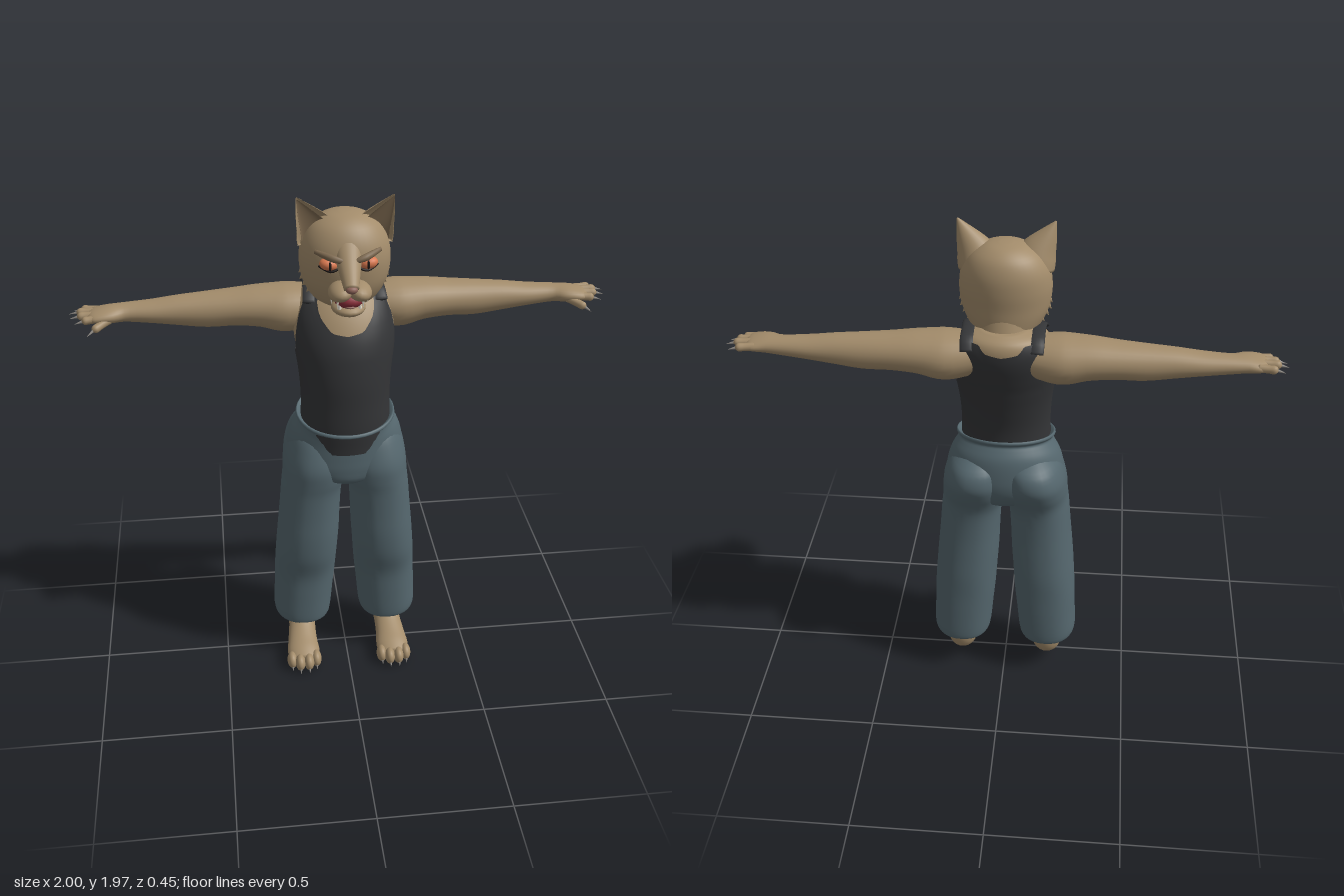
import * as THREE from 'three';

const mat = (color) => new THREE.MeshStandardMaterial({ color, side: THREE.DoubleSide });
const fur = mat(0xa38c6b), furDark = mat(0x7d6950), cloth = mat(0x343537), denim = mat(0x55676e);
const ivory = mat(0xe8e2d4), clawGrey = mat(0x8f8a84), mouthRed = mat(0x8a2f3a), iris = mat(0xd9784f);
const black = mat(0x1c1614), nosePink = mat(0x8c6358);
const V = (x, y, z) => new THREE.Vector3(x, y, z);
const X = V(1, 0, 0), Y = V(0, 1, 0), Z = V(0, 0, 1);

// Smooth interpolation through table rows at a fractional row index
function sample(rows, t) {
  const n = rows.length - 1, i = Math.min(Math.floor(t), n - 1), f = t - i;
  const at = (k) => rows[Math.max(0, Math.min(n, k))];
  return rows[i].map((p1, c) => {
    const p0 = at(i - 1)[c], p2 = at(i + 1)[c], p3 = at(i + 2)[c];
    return p1 + 0.5 * f * (p2 - p0 + f * (2 * p0 - 5 * p1 + 4 * p2 - p3 + f * (3 * (p1 - p2) + p3 - p0)));
  });
}

// Skin a list of closed rings of points
function skin(name, rings, material) {
  const n = rings[0].length, idx = [];
  for (let i = 0; i < rings.length - 1; i++) {
    for (let j = 0; j < n; j++) {
      const k = (j + 1) % n, a = i * n, b = a + n;
      idx.push(a + j, a + k, b + j, a + k, b + k, b + j);
    }
  }
  const g = new THREE.BufferGeometry().setFromPoints(rings.flat());
  g.setIndex(idx);
  g.computeVertexNormals();
  const m = new THREE.Mesh(g, material);
  m.name = name;
  return m;
}

// Rows are [x, y, z, half width along side axis, half depth]; ends are closed
function loft(name, rows, material, { side = X, up = null, p = 1, n = 28, steps = 4, warp = null } = {}) {
  const count = (rows.length - 1) * steps, s = [], rings = [];
  for (let i = 0; i <= count; i++) s.push(sample(rows, i / steps));
  const pt = (i) => V(...s[Math.max(0, Math.min(count, i))].slice(0, 3));
  const pow = (v) => Math.sign(v) * Math.abs(v) ** p;
  for (let i = 0; i <= count; i++) {
    const T = up || pt(i + 1).sub(pt(i - 1)).normalize();
    const N = T.clone().cross(side).normalize(), S = N.clone().cross(T);
    rings.push(Array.from({ length: n }, (_, j) => {
      const a = (j / n) * Math.PI * 2;
      const q = pt(i).addScaledVector(S, s[i][3] * pow(Math.cos(a))).addScaledVector(N, s[i][4] * pow(Math.sin(a)));
      return warp ? warp(q, pt(i)) : q;
    }));
  }
  rings.unshift(rings[0].map(() => pt(0)));
  rings.push(rings[0].map(() => pt(count)));
  return skin(name, rings, material);
}

function blob(name, x, y, z, rx, ry, rz, material, tilt = 0) {
  const m = new THREE.Mesh(new THREE.SphereGeometry(1, 20, 14), material);
  m.position.set(x, y, z);
  m.scale.set(rx, ry, rz);
  m.rotation.z = tilt;
  m.name = name;
  return m;
}

function spike(name, a, b, r, material) {
  const m = new THREE.Mesh(new THREE.ConeGeometry(r, a.distanceTo(b), 8), material);
  m.position.copy(a).lerp(b, 0.5);
  m.quaternion.setFromUnitVectors(Y, b.clone().sub(a).normalize());
  m.name = name;
  return m;
}

// Torso profile: y, centre z, half width, half depth
const TORSO = [[1.0, 0.005, 0.16, 0.13], [1.1, 0.007, 0.164, 0.137], [1.2, 0.005, 0.162, 0.14], [1.3, -0.005, 0.168, 0.15],
  [1.4, -0.023, 0.181, 0.157], [1.46, -0.042, 0.187, 0.157], [1.52, -0.065, 0.184, 0.15], [1.57, -0.085, 0.17, 0.134],
  [1.605, -0.095, 0.14, 0.11], [1.625, -0.095, 0.08, 0.075]];
// Tank top edge height by angle from the front: neckline, strap, armhole, strap, back
const EDGE = [[0, 1.48], [0.3, 1.49], [0.55, 1.54], [0.72, 1.605], [1, 1.605], [1.15, 1.5], [1.35, 1.4], [1.65, 1.365],
  [1.95, 1.4], [2.15, 1.5], [2.3, 1.6], [2.6, 1.6], [2.8, 1.575], [Math.PI, 1.565]];

function tankTop() {
  const n = 96, rings = [];
  for (let i = 0; i <= 30; i++) {
    rings.push(Array.from({ length: n }, (_, j) => {
      const a = (j / n) * Math.PI * 2, fromFront = Math.acos(Math.max(-1, Math.min(1, -Math.sin(a))));
      let k = 0;
      while (k < EDGE.length - 2 && EDGE[k + 1][0] < fromFront) k++;
      const [a0, h0] = EDGE[k], [a1, h1] = EDGE[k + 1];
      const y = 1 + (h0 + ((h1 - h0) * (fromFront - a0)) / (a1 - a0) - 1) * (i / 30);
      let r = 0;
      while (r < TORSO.length - 2 && TORSO[r + 1][0] < y) r++;
      const q = sample(TORSO, r + (y - TORSO[r][0]) / (TORSO[r + 1][0] - TORSO[r][0]));
      return V((q[2] + 0.006) * Math.cos(a), y, q[1] - (q[3] + 0.006) * Math.sin(a));
    }));
  }
  return skin('tankTop', rings, cloth);
}

function head() {
  const g = new THREE.Group();
  g.name = 'head';
  g.add(loft('skull', [[0, 1.57, -0.035, 0.085, 0.09], [0, 1.6, -0.025, 0.12, 0.115], [0, 1.65, -0.015, 0.148, 0.13],
    [0, 1.7, -0.01, 0.161, 0.136], [0, 1.76, -0.01, 0.164, 0.139], [0, 1.82, -0.014, 0.152, 0.13],
    [0, 1.87, -0.018, 0.12, 0.105], [0, 1.9, -0.02, 0.07, 0.065], [0, 1.91, -0.02, 0.02, 0.02]], fur, { up: Y, n: 40 }));
  g.add(loft('neck', [[0, 1.53, -0.085, 0.12, 0.11], [0, 1.59, -0.07, 0.1, 0.1], [0, 1.68, -0.04, 0.1, 0.1]], fur, { up: Y }));
  g.add(loft('noseBridge', [[0, 1.83, 0.075, 0.05, 0.03], [0, 1.775, 0.115, 0.045, 0.035], [0, 1.73, 0.165, 0.034, 0.028],
    [0, 1.7, 0.2, 0.026, 0.022]], fur));
  g.add(blob('nose', 0, 1.703, 0.208, 0.021, 0.014, 0.016, nosePink));
  g.add(blob('mouth', 0, 1.638, 0.12, 0.056, 0.034, 0.06, mouthRed));
  g.add(blob('tongue', 0, 1.622, 0.14, 0.028, 0.01, 0.04, nosePink));
  g.add(blob('lowerJaw', 0, 1.597, 0.1, 0.062, 0.027, 0.078, fur));
  for (const s of [-1, 1]) {
    g.add(blob('muzzle', s * 0.033, 1.676, 0.15, 0.045, 0.032, 0.065, fur, -s * 0.25));
    g.add(blob('eye', s * 0.07, 1.762, 0.112, 0.033, 0.022, 0.026, iris, s * 0.2));
    g.add(blob('pupil', s * 0.067, 1.762, 0.134, 0.005, 0.017, 0.006, black));
    g.add(loft('brow', [[s * 0.018, 1.778, 0.14, 0.006, 0.008], [s * 0.06, 1.79, 0.13, 0.012, 0.013],
      [s * 0.115, 1.802, 0.09, 0.006, 0.008]], furDark, { side: Z, n: 12 }));
    g.add(loft('lowerLid', [[s * 0.034, 1.75, 0.127, 0.004, 0.004], [s * 0.066, 1.741, 0.129, 0.006, 0.005],
      [s * 0.104, 1.754, 0.104, 0.004, 0.004]], black, { side: Z, n: 10 }));
    // Fangs, upper long and lower short
    g.add(spike('upperFang', V(s * 0.045, 1.66, 0.165), V(s * 0.045, 1.615, 0.17), 0.008, ivory));
    g.add(spike('lowerFang', V(s * 0.036, 1.61, 0.15), V(s * 0.036, 1.645, 0.16), 0.007, ivory));
    g.add(spike('sideFang', V(s * 0.062, 1.655, 0.135), V(s * 0.064, 1.622, 0.135), 0.007, ivory));
    // Cheek fur
    for (let i = 0; i < 5; i++) {
      const y = 1.71 - i * 0.025, x = 0.14 - i * i * 0.003;
      g.add(spike('cheekTuft', V(s * x, y, -0.01), V(s * (x + 0.026), y - 0.028, -0.02), 0.02, fur));
    }
    // Cupped ear, hollow on the front
    const cup = (depth) => (q, c) => (q.z > c.z ? V(q.x, q.y, c.z - depth * (q.z - c.z)) : q);
    const ear = [[s * 0.095, 1.82, 0.01, 0.078, 0.075], [s * 0.112, 1.865, 0.014, 0.066, 0.06],
      [s * 0.142, 1.92, 0.017, 0.036, 0.032], [s * 0.17, 1.972, 0.02, 0.003, 0.003]];
    g.add(loft('ear', ear, fur, { side: V(s * 0.755, -0.656, 0), warp: cup(0.5) }));
    const inner = ear.map(([x, y, z, a, b]) => [x, y - 0.006, z + 0.002, a * 0.75, b * 0.35]);
    g.add(loft('innerEar', inner, furDark, { side: V(s * 0.755, -0.656, 0), warp: cup(0.6) }));
  }
  return g;
}

function arm(s) {
  const g = new THREE.Group();
  g.name = s > 0 ? 'leftArm' : 'rightArm';
  const rows = [[0.08, 1.525, -0.11, 0.08, 0.07], [0.2, 1.513, -0.112, 0.105, 0.09], [0.3, 1.521, -0.115, 0.093, 0.078],
    [0.4, 1.52, -0.117, 0.08, 0.069], [0.5, 1.515, -0.117, 0.07, 0.066], [0.6, 1.517, -0.116, 0.06, 0.056],
    [0.7, 1.518, -0.115, 0.053, 0.043], [0.8, 1.52, -0.113, 0.045, 0.034], [0.86, 1.521, -0.1, 0.056, 0.03],
    [0.91, 1.519, -0.099, 0.056, 0.022], [0.93, 1.518, -0.1, 0.03, 0.012]];
  g.add(loft('armAndPalm', rows.map(([x, ...r]) => [s * x, ...r]), fur, { side: Z }));
  // Fingers with claws: base x, y, z then tip x, y, z
  for (const [x0, y0, z0, x1, y1, z1] of [[0.89, 1.522, -0.138, 0.958, 1.522, -0.15], [0.9, 1.525, -0.112, 0.972, 1.525, -0.118],
    [0.9, 1.524, -0.086, 0.968, 1.522, -0.086], [0.89, 1.52, -0.062, 0.95, 1.516, -0.055], [0.855, 1.512, -0.065, 0.912, 1.492, -0.02]]) {
    const a = V(s * x0, y0, z0), b = V(s * x1, y1, z1), d = b.clone().sub(a);
    const row = (t, r) => [...a.clone().addScaledVector(d, t).toArray(), r, r];
    g.add(loft('finger', [row(0, 0.016), row(0.5, 0.0145), row(0.85, 0.015), row(1, 0.006)], fur, { side: Z, n: 12 }));
    const tip = b.clone().addScaledVector(d.normalize(), 0.03);
    g.add(spike('claw', b.clone().addScaledVector(d, -0.008), tip.setY(tip.y - 0.008), 0.007, clawGrey));
  }
  return g;
}

function leg(s) {
  const g = new THREE.Group();
  g.name = s > 0 ? 'leftLeg' : 'rightLeg';
  const at = (rows) => rows.map(([x, ...r]) => [s * x, ...r]);
  g.add(loft('trouserLeg', at([[0.174, 0.18, -0.037, 0.095, 0.11], [0.174, 0.167, -0.037, 0.106, 0.122], [0.177, 0.195, -0.038, 0.117, 0.129],
    [0.17, 0.3, -0.037, 0.12, 0.13], [0.163, 0.4, -0.034, 0.123, 0.131], [0.156, 0.5, -0.022, 0.123, 0.143],
    [0.148, 0.6, -0.015, 0.122, 0.145], [0.141, 0.7, -0.013, 0.119, 0.143], [0.133, 0.8, -0.013, 0.118, 0.145],
    [0.122, 0.86, -0.016, 0.122, 0.154], [0.116, 0.92, -0.03, 0.124, 0.17], [0.112, 0.98, -0.048, 0.118, 0.172],
    [0.105, 1.04, -0.052, 0.1, 0.15], [0.1, 1.08, -0.04, 0.06, 0.1]]), denim, { up: Y, p: 0.88, n: 32 }));
  g.add(loft('foot', at([[0.176, 0.24, -0.085, 0.058, 0.055], [0.176, 0.165, -0.083, 0.06, 0.06], [0.178, 0.12, -0.068, 0.058, 0.058],
    [0.182, 0.085, -0.01, 0.055, 0.045], [0.186, 0.06, 0.06, 0.06, 0.04], [0.187, 0.043, 0.12, 0.066, 0.038],
    [0.187, 0.035, 0.17, 0.05, 0.026]]), fur));
  [-0.05, -0.018, 0.018, 0.05].forEach((dx) => {
    const x = s * (0.187 + dx), z = Math.abs(dx) > 0.03 ? 0.155 : 0.175;
    g.add(blob('toe', x, 0.034, z, 0.021, 0.034, 0.036, fur));
    g.add(spike('toeClaw', V(x, 0.026, z + 0.025), V(x, 0.008, z + 0.045), 0.007, clawGrey));
  });
  return g;
}

export function createModel() {
  const model = new THREE.Group();
  model.name = 'catFigure';
  model.add(loft('torso', TORSO.map(([y, z, a, b]) => [0, y, z, a, b]), fur, { up: Y, n: 48 }), tankTop(), head());
  // Trouser seat with a waistband that rises toward the back
  const tilt = (q) => V(q.x, q.y - q.z * 0.22 * THREE.MathUtils.smoothstep(q.y, 1.0, 1.1), q.z);
  model.add(loft('trouserSeat', [[0, 0.835, -0.01, 0.03, 0.08], [0, 0.87, -0.01, 0.15, 0.14], [0, 0.92, -0.02, 0.22, 0.16],
    [0, 0.97, -0.026, 0.228, 0.165], [0, 1.02, -0.026, 0.22, 0.163], [0, 1.06, -0.02, 0.206, 0.158], [0, 1.09, -0.008, 0.188, 0.149],
    [0, 1.108, 0, 0.18, 0.147], [0, 1.122, 0.004, 0.189, 0.16], [0, 1.132, 0.004, 0.184, 0.154],
    [0, 1.118, 0.004, 0.168, 0.138]], denim, { up: Y, n: 40, warp: tilt }));
  for (const s of [-1, 1]) {
    model.add(arm(s), leg(s));
    model.add(loft('shoulderStrap', [[s * 0.13, 1.575, 0.01, 0.026, 0.008], [s * 0.125, 1.606, -0.035, 0.026, 0.008],
      [s * 0.122, 1.614, -0.1, 0.026, 0.008], [s * 0.122, 1.603, -0.165, 0.026, 0.008],
      [s * 0.12, 1.57, -0.195, 0.026, 0.008]], cloth, { n: 14 }));
  }
  return model;
}
